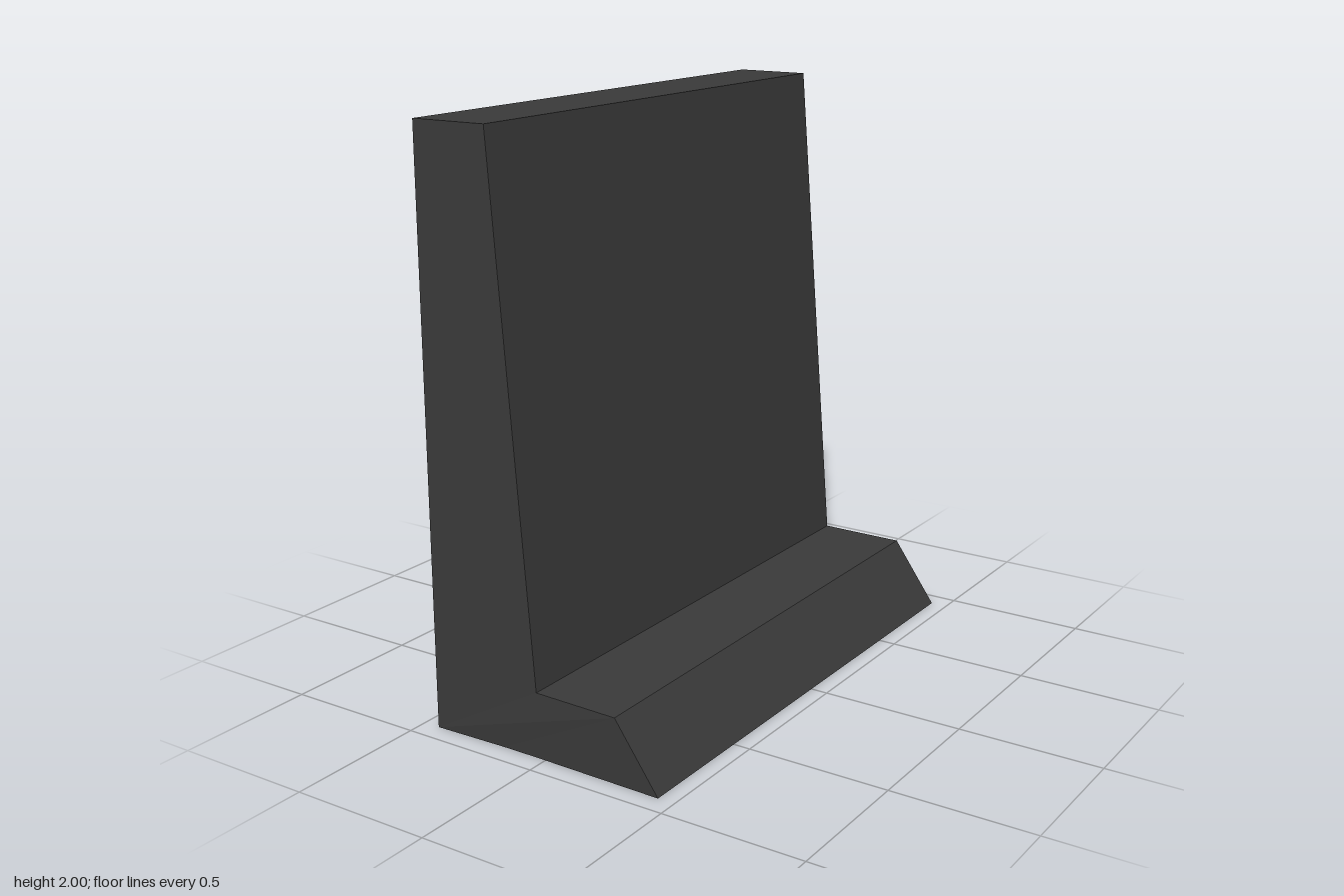
import * as THREE from 'three';

export function createModel() {
  const group = new THREE.Group();
  const concrete = new THREE.MeshStandardMaterial({ color: 0x3a3a3a });
  concrete.name = 'dark concrete';

  // L-shaped section: upright stem with a battered face, and a foot with a sloped toe
  const section = new THREE.Shape([
    [-0.44, 0], [-0.17, 0], [-0.03, 0], [0.44, 0], [0.28, 0.225],
    [-0.03, 0.225], [-0.17, 2], [-0.44, 2],
  ].map(([x, y]) => new THREE.Vector2(x, y)));

  const halfLength = 0.93;
  const geometry = new THREE.ExtrudeGeometry(section, { depth: halfLength * 2, bevelEnabled: false });
  geometry.translate(0, 0, -halfLength);

  // The front end is very slightly hollow across its middle
  const p = geometry.attributes.position;
  for (let i = 0; i < p.count; i++) {
    const x = p.getX(i);
    if (p.getZ(i) > 0 && x > -0.2 && x < 0) p.setZ(i, halfLength - 0.008);
  }
  geometry.computeVertexNormals();

  const wall = new THREE.Mesh(geometry, concrete);
  wall.name = 'retainingWall';
  group.add(wall);
  return group;
}
